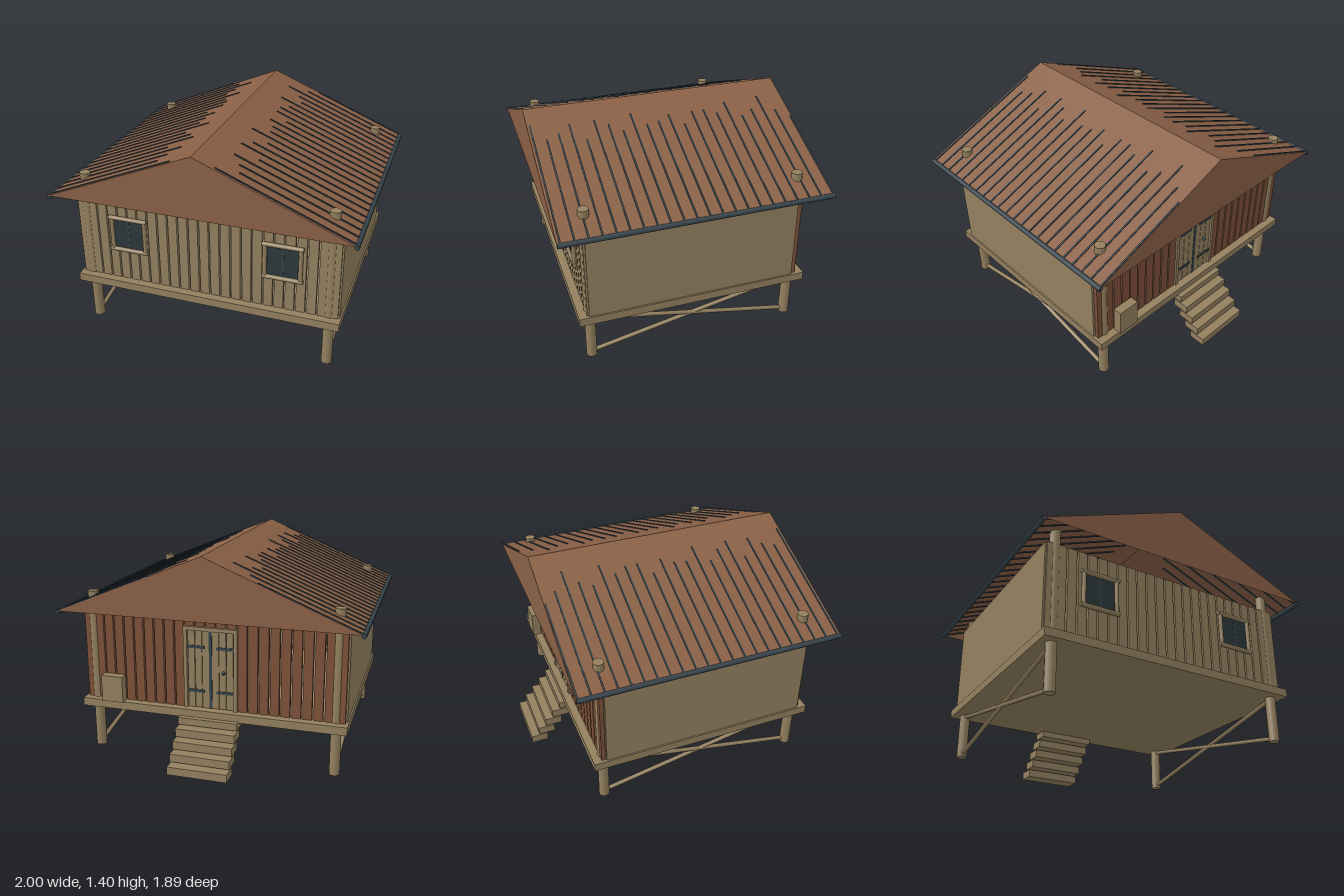
import * as THREE from 'three';

const paint = (name, color) => {
  const m = new THREE.MeshStandardMaterial({ color });
  m.name = name;
  return m;
};

export function createModel() {
  const hut = new THREE.Group();
  hut.name = 'stiltHut';
  const wood = paint('paleWood', 0x93805f);
  const red = paint('redWood', 0x7c5039);
  const roofMat = paint('roofBrown', 0x8a6046);
  roofMat.side = THREE.DoubleSide;
  const iron = paint('darkIron', 0x35434a);
  const glass = paint('darkGlass', 0x2c383b);

  const add = (name, geo, mat, parent = hut) => {
    const m = new THREE.Mesh(geo, mat);
    m.name = name;
    parent.add(m);
    return m;
  };
  // box given by its lower and upper corners
  const box = (name, mat, [x0, y0, z0], [x1, y1, z1], parent) => {
    const m = add(name, new THREE.BoxGeometry(x1 - x0, y1 - y0, z1 - z0), mat, parent);
    m.position.set((x0 + x1) / 2, (y0 + y1) / 2, (z0 + z1) / 2);
    return m;
  };
  // round log between two points
  const log = (name, mat, a, b, r, parent, sides = 10) => {
    const p = new THREE.Vector3(...a), q = new THREE.Vector3(...b);
    const d = q.clone().sub(p);
    const m = add(name, new THREE.CylinderGeometry(r, r, d.length(), sides), mat, parent);
    m.position.copy(p).add(q).multiplyScalar(0.5);
    m.quaternion.setFromUnitVectors(new THREE.Vector3(0, 1, 0), d.normalize());
    return m;
  };
  const group = (name) => {
    const g = new THREE.Group();
    g.name = name;
    hut.add(g);
    return g;
  };

  // platform
  box('platform', wood, [-0.9, 0.305, -0.69], [0.9, 0.36, 0.84]);

  // posts, cross braces, side walls and gutters
  for (const s of [-1, 1]) {
    const x = s * 0.82;
    for (const z of [0.76, -0.612]) log('post', wood, [x, 0, z], [x, 1.1, z], 0.035, hut, 12);
    log('brace', wood, [x, 0.025, 0.75], [x, 0.295, -0.6], 0.014);
    log('brace', wood, [x, 0.295, 0.75], [x, 0.025, -0.6], 0.014);
    box('sideWall', wood, [s * 0.88 - 0.01, 0.36, -0.605], [s * 0.88 + 0.01, 0.96, 0.775]);
    log('gutter', iron, [s * 0.985, 0.987, -0.8], [s * 0.985, 0.987, 0.95], 0.016);
  }

  // spaced plank walls, with the doorway left open at the back
  const walls = group('plankWalls');
  for (let i = -12; i <= 12; i++) {
    const x = i * 0.0708;
    box('frontPlank', wood, [x - 0.03, 0.36, 0.762], [x + 0.03, 0.96, 0.787], walls);
    if (Math.abs(i) > 2) box('backPlank', red, [x - 0.03, 0.36, -0.637], [x + 0.03, 0.96, -0.61], walls);
    else box('lintelPlank', red, [x - 0.03, 0.9, -0.637], [x + 0.03, 0.96, -0.61], walls);
  }

  // roof shell: two slopes and two gables
  const E = 0.99, Y = 0.992, T = 1.4, F = 0.95, B = -0.8;
  const roof = group('roof');
  const shell = new THREE.BufferGeometry();
  shell.setAttribute('position', new THREE.Float32BufferAttribute([
    0, T, F, E, Y, F, E, Y, B, 0, T, F, E, Y, B, 0, T, B,
    0, T, F, -E, Y, B, -E, Y, F, 0, T, F, 0, T, B, -E, Y, B,
    -E, Y, F, E, Y, F, 0, T, F,
    E, Y, B, -E, Y, B, 0, T, B,
  ], 3));
  shell.computeVertexNormals();
  add('roofShell', shell, roofMat, roof);

  // thin iron ribs of uneven length running up from the eaves
  const ends = [0.35, 0.28, 0.15, 0.25, 0.29, 0.16, 0.24, 0.2, 0.2, 0.29, 0.2,
    0.24, 0.25, 0.15, 0.28, 0.21, 0.16, 0.3, 0.17, 0.23, 0.26, 0.14];
  const pitch = Math.atan2(T - Y, E);
  ends.forEach((end, i) => {
    const z = -0.79 + i * 0.0819;
    for (const s of [-1, 1]) {
      const mid = (E + end) / 2;
      const rib = add('roofRib', new THREE.BoxGeometry((E - end) / Math.cos(pitch), 0.012, 0.01), iron, roof);
      rib.position.set(s * mid, T - (mid / E) * (T - Y), z);
      rib.rotation.z = -s * pitch;
    }
  });

  // front windows with log frames
  for (const s of [-1, 1]) {
    const w = group('window');
    w.position.set(s * 0.52, 0.705, 0.8);
    for (const t of [-1, 1]) {
      log('frameUpright', wood, [t * 0.115, -0.115, 0], [t * 0.115, 0.115, 0], 0.014, w);
      log('frameRail', wood, [-0.132, t * 0.115, 0], [0.132, t * 0.115, 0], 0.015, w);
      box('pane', glass, [t * 0.053 - 0.048, -0.105, -0.012], [t * 0.053 + 0.048, 0.105, -0.004], w);
    }
    box('mullion', iron, [-0.006, -0.105, -0.012], [0.006, 0.105, -0.002], w);
  }

  // double door at the back
  const door = group('door');
  for (const s of [-1, 1]) {
    box('doorPost', wood, [s * 0.17 - 0.012, 0.36, -0.65], [s * 0.17 + 0.012, 0.91, -0.605], door);
    for (const c of [0.033, 0.081, 0.13])
      box('doorPlank', wood, [s * c - 0.0225, 0.365, -0.64], [s * c + 0.0225, 0.89, -0.618], door);
    for (const y of [0.48, 0.78])
      box('strapHinge', iron, [s * 0.1 - 0.06, y - 0.009, -0.646], [s * 0.1 + 0.06, y + 0.009, -0.639], door);
  }
  box('doorHead', wood, [-0.182, 0.89, -0.65], [0.182, 0.915, -0.605], door);
  box('doorSeam', iron, [-0.01, 0.365, -0.643], [0.01, 0.89, -0.635], door);
  const knob = add('doorKnob', new THREE.SphereGeometry(0.012, 10, 8), iron, door);
  knob.position.set(-0.09, 0.62, -0.648);

  // crate beside the door
  box('crate', wood, [0.6, 0.36, -0.705], [0.75, 0.54, -0.645]);

  // steps
  const steps = group('steps');
  for (let i = 0; i < 5; i++) {
    const y = 0.008 + i * 0.064, z = -0.945 + i * 0.055;
    box('step', wood, [-0.2, y, z], [0.2, Math.min(y + 0.054, 0.312), z + 0.115], steps);
  }
  return hut;
}
